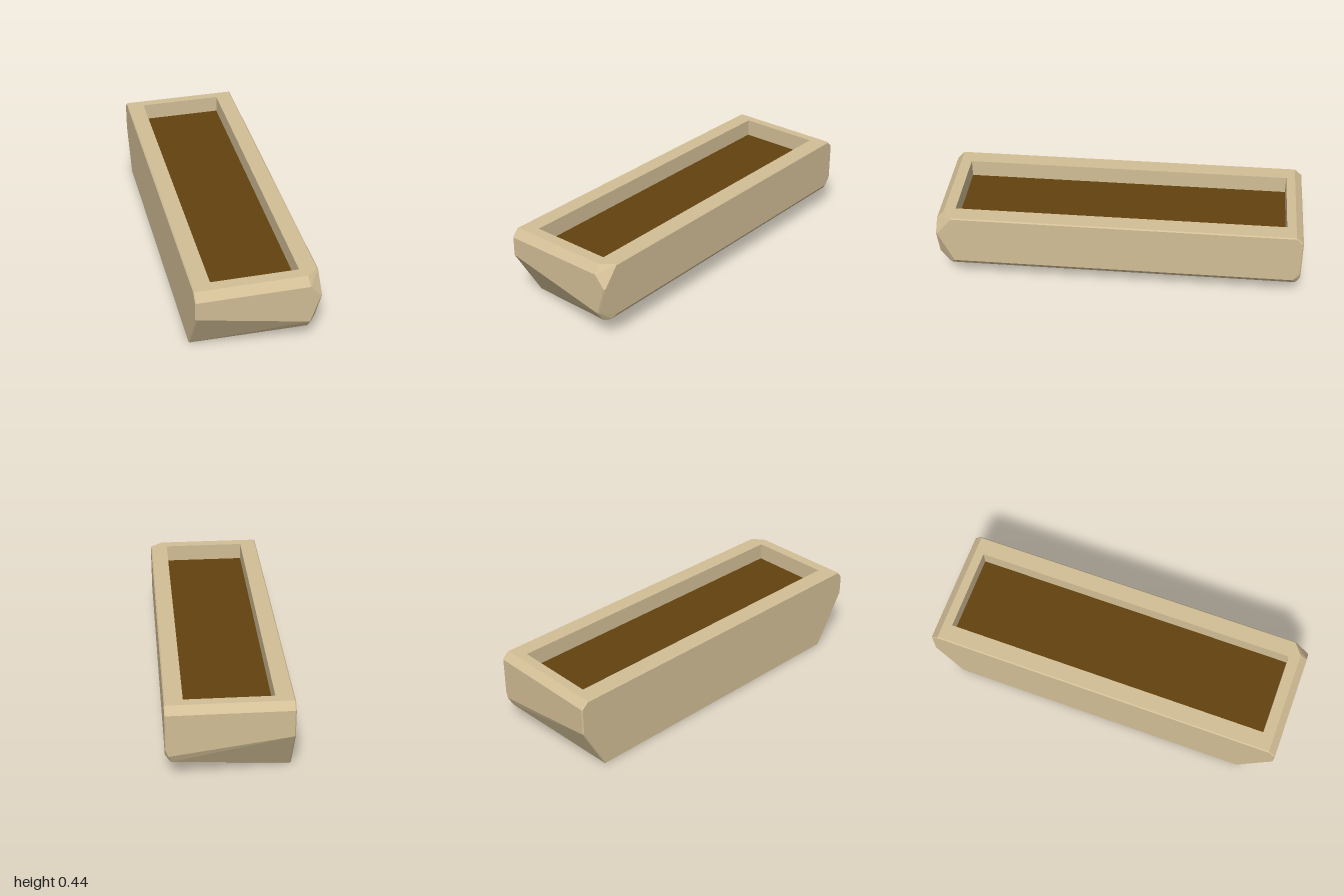
import * as THREE from 'three';
import { ConvexGeometry } from 'three/addons/geometries/ConvexGeometry.js';

const HALF_W = 0.327, TOP = 0.442, BEVEL = 0.006, FLOOR = 0.345;

export function createModel() {
  const group = new THREE.Group();
  const stone = new THREE.MeshStandardMaterial({ color: 0xd2be96 });
  stone.name = 'sandstone';
  const soilMat = new THREE.MeshStandardMaterial({ color: 0x63420e });
  soilMat.name = 'brown soil';

  const add = (name, geometry, material) => {
    const mesh = new THREE.Mesh(geometry, material);
    mesh.name = name;
    group.add(mesh);
    return mesh;
  };

  // Keep corners one bevel inside the bounds, so the bevels end exactly on them
  const clamp = THREE.MathUtils.clamp;
  const corner = ([x, y, z]) => new THREE.Vector3(
    clamp(x, BEVEL - HALF_W, HALF_W - BEVEL),
    clamp(y, BEVEL, TOP - BEVEL),
    clamp(z, BEVEL - 1, 1 - BEVEL));

  // Top outline of the rim, with the front corner cut away at +x
  const rimCorners = [
    [-HALF_W, TOP, 0.96], [0.26, TOP, 0.96], [HALF_W, TOP, 0.91],
    [HALF_W, TOP, -0.96], [-HALF_W, TOP, -0.96],
  ].map(corner);

  const bodyCorners = [
    // front end: upper chamfer, slanted break, undercut
    [-HALF_W, 0.4, 1], [0.265, 0.4, 1], [HALF_W, 0.335, 1],
    [-HALF_W, 0.295, 1], [0.27, 0.175, 1],
    [-HALF_W, 0, 0.82], [0.27, 0.12, 0.955], [0.295, 0.122, 0.93], [HALF_W, 0.155, 0.91],
    // back end
    [-HALF_W, 0.405, -1], [HALF_W, 0.405, -1],
    [-HALF_W, 0.255, -1], [0.31, 0.165, -1], [HALF_W, 0.2, -1],
    [-HALF_W, 0, -0.86], [0.295, 0.122, -0.975], [HALF_W, 0.155, -0.96],
  ].map(corner);

  // Outer shell: hull of the corners, each spread out into a small bevel
  const spread = [];
  for (const p of [...rimCorners, ...bodyCorners]) {
    for (const axis of ['x', 'y', 'z']) {
      for (const s of [-BEVEL, BEVEL]) {
        const q = p.clone();
        q[axis] += s;
        spread.push(q);
      }
    }
  }
  const hull = new ConvexGeometry(spread).getAttribute('position');

  // Leave the top of the shell open for the rim and cavity
  const open = [];
  for (let i = 0; i < hull.count; i += 3) {
    if ([0, 1, 2].every((k) => hull.getY(i + k) > TOP - 0.001)) continue;
    for (let k = 0; k < 3; k++) open.push(hull.getX(i + k), hull.getY(i + k), hull.getZ(i + k));
  }
  const shell = new THREE.BufferGeometry();
  shell.setAttribute('position', new THREE.Float32BufferAttribute(open, 3));
  shell.computeVertexNormals();
  add('troughBody', shell, stone);

  // Flat rim with the cavity walls
  const outline = new THREE.Shape(rimCorners.map((p) => new THREE.Vector2(p.x, -p.z)));
  const x = 0.23, front = 0.9, back = -0.91;
  outline.holes.push(new THREE.Path([
    new THREE.Vector2(-x, -front), new THREE.Vector2(-x, -back),
    new THREE.Vector2(x, -back), new THREE.Vector2(x, -front),
  ]));
  const rim = new THREE.ExtrudeGeometry(outline, { depth: TOP - FLOOR + 0.008, bevelEnabled: false });
  rim.rotateX(-Math.PI / 2);
  rim.translate(0, FLOOR - 0.008, 0);
  add('rim', rim, stone);

  // Soil filling the bottom of the cavity
  const soil = add('soil', new THREE.BoxGeometry(2 * x, 0.008, front - back), soilMat);
  soil.position.set(0, FLOOR - 0.004, (front + back) / 2);

  return group;
}
